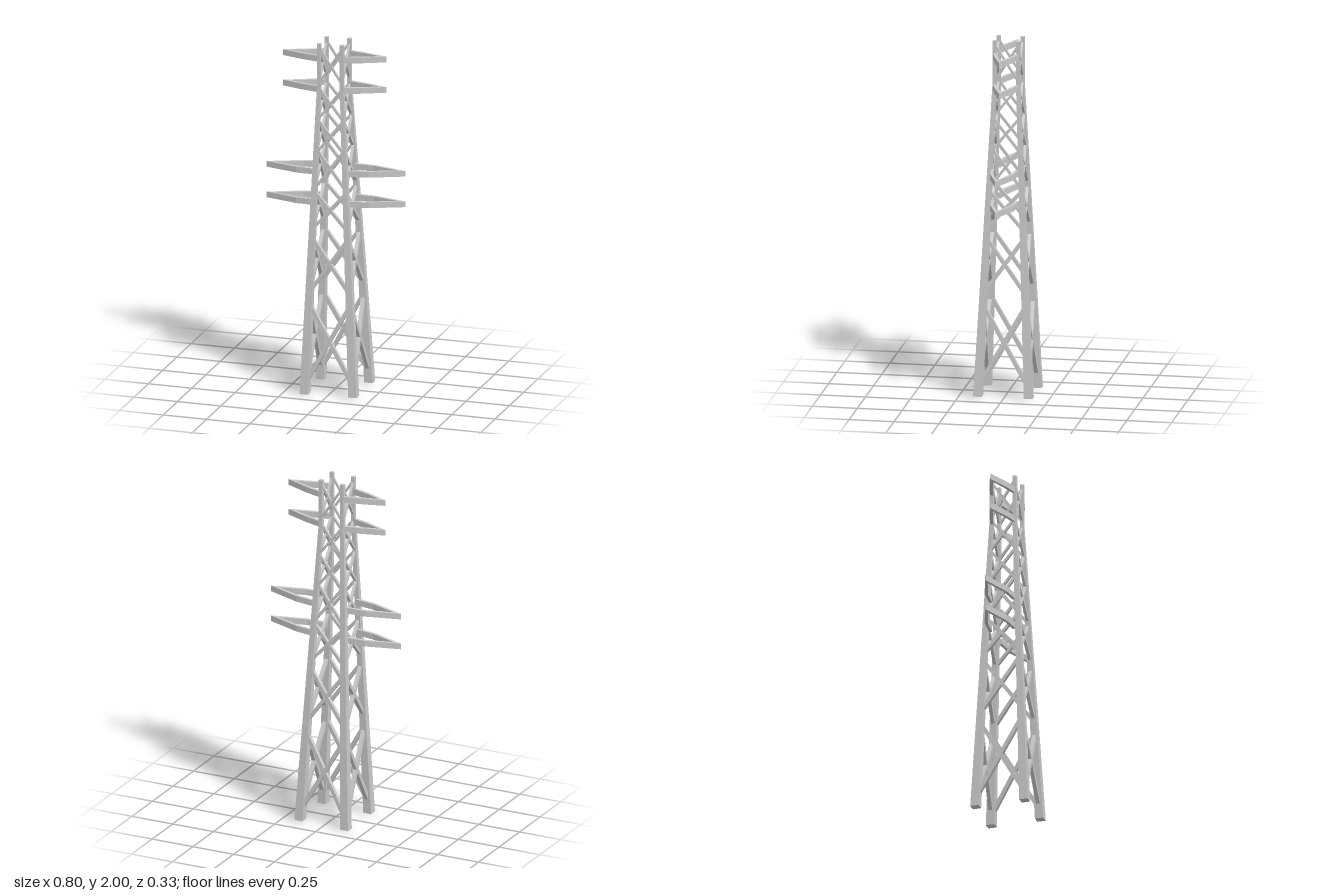
import * as THREE from 'three';

const material = new THREE.MeshStandardMaterial({ color: 0xcccccc, flatShading: true });
const BEND = 1.74; // height where the legs turn vertical

// Centre of the leg in corner (sx, sz) at height y, and its thickness there
function legAt(sx, sz, y) {
  const t = Math.min(y / BEND, 1);
  const lean = THREE.MathUtils.lerp(0.008, -0.009, t);
  return new THREE.Vector3(
    lean + sx * THREE.MathUtils.lerp(0.14, 0.066, t), y,
    sz * THREE.MathUtils.lerp(0.141, 0.066, t));
}
const legWidth = (y) => THREE.MathUtils.lerp(0.048, 0.021, Math.min(y / BEND, 1));

// The whole tower is slightly tilted: heights rise towards +x
function addMesh(parent, geometry, name) {
  const p = geometry.attributes.position;
  for (let i = 0; i < p.count; i++) p.setY(i, p.getY(i) + 0.005 + 0.03 * p.getX(i));
  geometry.computeVertexNormals();
  const mesh = new THREE.Mesh(geometry, material);
  mesh.name = name;
  parent.add(mesh);
}

// Square tapered leg, kinked at BEND
function legGeometry(sx, sz) {
  const g = new THREE.BoxGeometry(1, 1, 1, 1, 2, 1);
  const p = g.attributes.position;
  for (let i = 0; i < p.count; i++) {
    const v = p.getY(i);
    const y = v < -0.1 ? 0 : v > 0.1 ? 1.994 : BEND;
    const c = legAt(sx, sz, y), w = legWidth(y);
    p.setXYZ(i, c.x + p.getX(i) * w, y, c.z + p.getZ(i) * w);
  }
  return g;
}

// Straight bar from a to b, lying flat in the face with the given normal
function barGeometry(a, b, size, normal) {
  const o = new THREE.Object3D();
  o.up.copy(normal);
  o.position.copy(a).lerp(b, 0.5);
  o.lookAt(b);
  o.updateMatrix();
  return new THREE.BoxGeometry(size, size, a.distanceTo(b)).applyMatrix4(o.matrix);
}

// Pointed V-shaped arm, open towards the tower
function armGeometry(side, y, centre, root, bend, tip, innerTip) {
  const t = 0.017;
  const half = [[root[0], root[1]], [bend[0], bend[1]], [tip, 0]];
  const inner = [[innerTip, 0], [bend[0] - 0.006, bend[1] - t], [root[0], root[1] - t]];
  const mirror = (pts) => pts.slice().reverse().map(([x, z]) => [x, -z]);
  const outline = [
    ...half, ...mirror(half).slice(1),
    ...mirror(inner), ...inner.slice(1).map((q) => q),
  ];
  // outer edge out to the tip and back, then the inner edge the same way
  const shape = new THREE.Shape(outline.map(([x, z]) => new THREE.Vector2(x, z)));
  const g = new THREE.ExtrudeGeometry(shape, { depth: 0.033, bevelEnabled: false });
  g.translate(0, 0, -0.0165).rotateX(Math.PI / 2);
  if (side < 0) g.rotateY(Math.PI);
  return g.translate(centre, y, 0);
}

export function createModel() {
  const model = new THREE.Group();
  model.name = 'latticeTower';

  // Four corner legs
  const corners = [[1, 1], [1, -1], [-1, -1], [-1, 1]];
  const legs = new THREE.Group();
  legs.name = 'legs';
  model.add(legs);
  for (const [sx, sz] of corners) addMesh(legs, legGeometry(sx, sz), 'leg');

  // Crossed braces on each face: bottom, top, bar thickness
  const panels = [
    [0.09, 0.49, 0.022], [0.6, 0.87, 0.02], [0.95, 1.14, 0.017], [1.18, 1.38, 0.015],
    [1.38, 1.55, 0.014], [1.57, 1.73, 0.013], [1.78, 1.96, 0.012],
  ];
  const braces = new THREE.Group();
  braces.name = 'braces';
  model.add(braces);
  corners.forEach((a, i) => {
    const b = corners[(i + 1) % 4];
    const normal = new THREE.Vector3((a[0] + b[0]) / 2, 0, (a[1] + b[1]) / 2);
    // point on the inner edge of leg p, facing leg q
    const inner = (p, q, y) => {
      const v = legAt(p[0], p[1], y);
      const d = legAt(q[0], q[1], y).sub(v).normalize();
      return v.addScaledVector(d, legWidth(y) * 0.35);
    };
    for (const [y0, y1, size] of panels) {
      addMesh(braces, barGeometry(inner(a, b, y0), inner(b, a, y1), size, normal), 'brace');
      addMesh(braces, barGeometry(inner(b, a, y0), inner(a, b, y1), size, normal), 'brace');
    }
  });

  // Two short upper pairs of arms and two long lower pairs
  const arms = new THREE.Group();
  arms.name = 'arms';
  model.add(arms);
  for (const side of [1, -1]) {
    for (const y of [1.908, 1.733])
      addMesh(arms, armGeometry(side, y, -0.007, [0.066, 0.074], [0.165, 0.049], 0.298, 0.255), 'upperArm');
    for (const y of [1.258, 1.082])
      addMesh(arms, armGeometry(side, y, 0, [0.09, 0.077], [0.21, 0.064], 0.4, 0.352), 'lowerArm');
  }
  return model;
}
